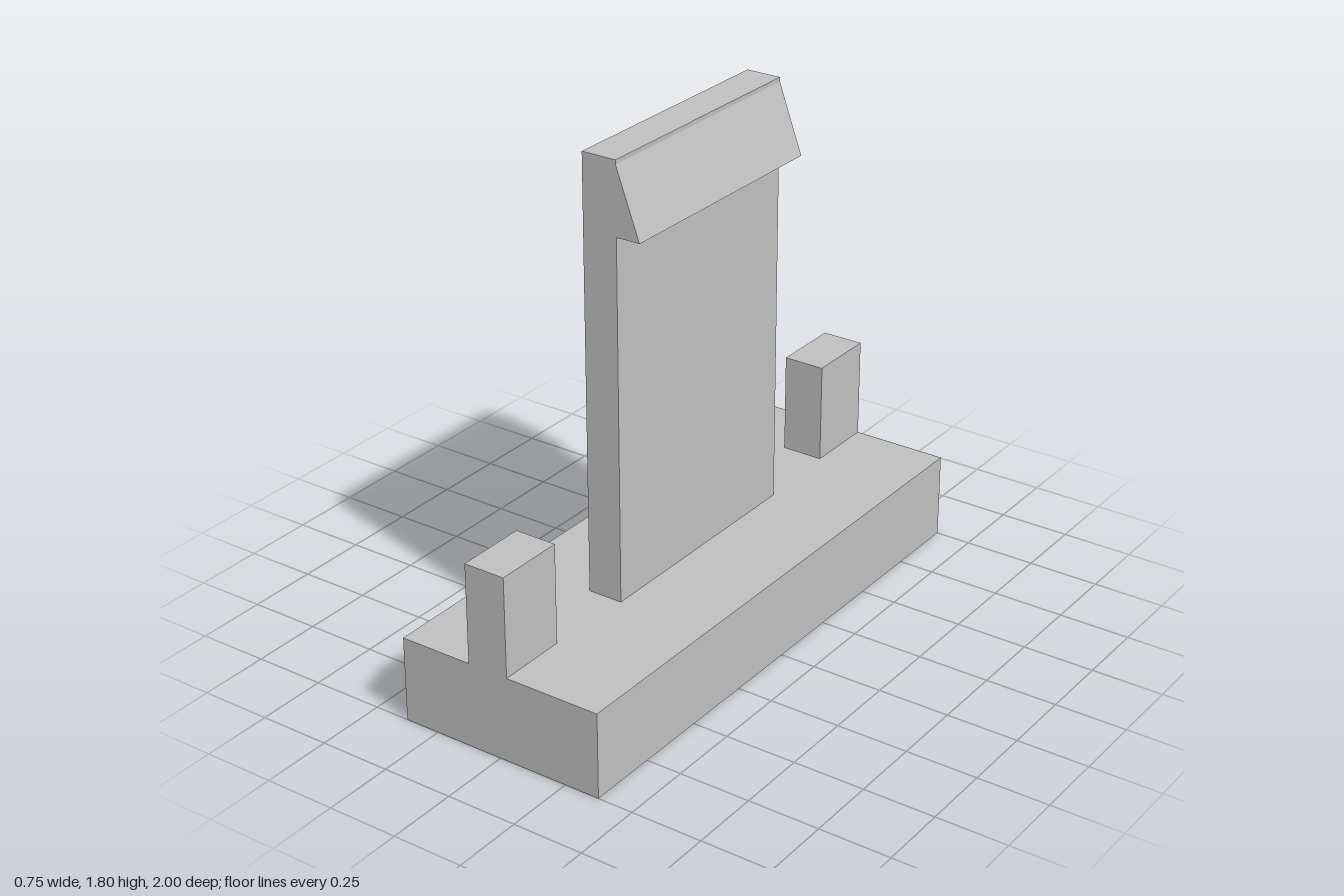
import * as THREE from 'three';

const BASE_TOP = 0.3;

export function createModel() {
  const model = new THREE.Group();
  model.name = 'clipBracket';
  const grey = new THREE.MeshStandardMaterial({ color: 0xc0c0c0 });
  grey.name = 'light grey';

  const add = (name, geometry, x, y, z) => {
    const mesh = new THREE.Mesh(geometry, grey);
    mesh.name = name;
    mesh.position.set(x, y, z);
    model.add(mesh);
  };

  // Base slab
  add('base', new THREE.BoxGeometry(0.75, BASE_TOP, 2), 0, BASE_TOP / 2, 0);

  // Locating posts, flush with both ends of the base
  const postHeight = 0.35;
  for (const [name, side] of [['frontPost', 1], ['backPost', -1]]) {
    add(name, new THREE.BoxGeometry(0.148, postHeight, 0.25),
      -0.04, BASE_TOP + postHeight / 2, side * 0.875);
  }

  // Upright blade with a barbed hook along its top edge
  const profile = new THREE.Shape([
    [-0.076, BASE_TOP], [0.048, BASE_TOP], [0.048, 1.553],
    [0.133, 1.553], [0.048, 1.785], [0.048, 1.8], [-0.076, 1.8],
  ].map(([x, y]) => new THREE.Vector2(x, y)));
  const depth = 0.875;
  add('hookedBlade', new THREE.ExtrudeGeometry(profile, { depth, bevelEnabled: false }),
    0, 0, -depth / 2);

  return model;
}
